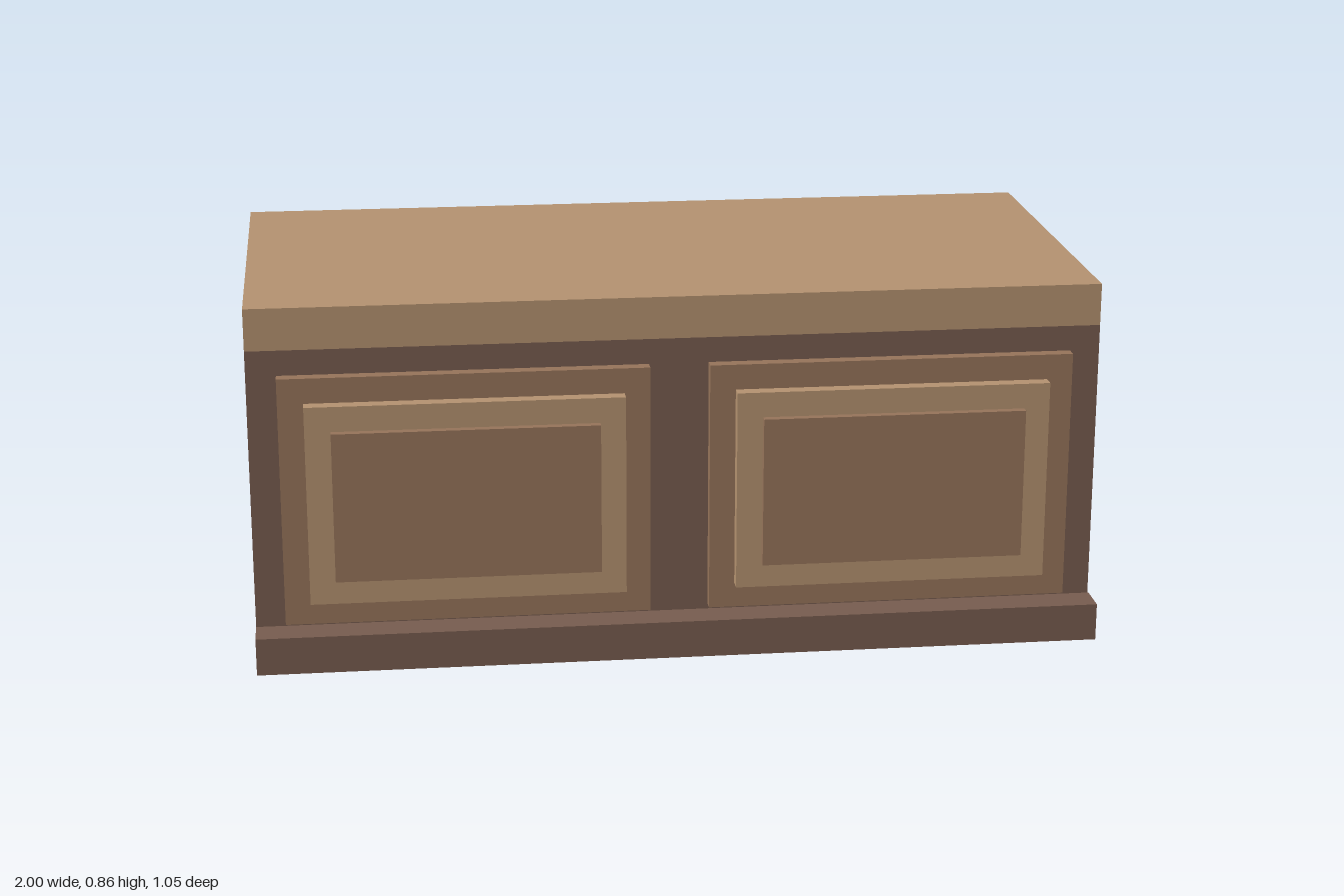
import * as THREE from 'three';

export function createModel() {
  const darkWood = new THREE.MeshStandardMaterial({ color: 0x775c4f });
  const midWood = new THREE.MeshStandardMaterial({ color: 0x96745a });
  const lightWood = new THREE.MeshStandardMaterial({ color: 0xb49270 });
  darkWood.name = 'darkWood';
  midWood.name = 'midWood';
  lightWood.name = 'lightWood';

  const group = new THREE.Group();
  group.name = 'cabinet';

  // Box given by its lower and upper limits on each axis
  function box(name, material, [x0, x1], [y0, y1], [z0, z1], parent = group) {
    const mesh = new THREE.Mesh(new THREE.BoxGeometry(x1 - x0, y1 - y0, z1 - z0), material);
    mesh.position.set((x0 + x1) / 2, (y0 + y1) / 2, (z0 + z1) / 2);
    mesh.name = name;
    parent.add(mesh);
  }

  // Carcass, worktop and the plinth standing just in front
  box('body', darkWood, [-1, 1], [0, 0.76], [-0.525, 0.435]);
  box('top', lightWood, [-1, 1], [0.76, 0.86], [-0.525, 0.435]);
  box('plinth', darkWood, [-1, 1], [0, 0.09], [0.445, 0.525]);

  // Two doors, each of three stepped panels
  for (const side of [-1, 1]) {
    const door = new THREE.Group();
    door.name = side > 0 ? 'leftDoor' : 'rightDoor';
    door.position.set(side * 0.5, 0.4, 0);
    box('doorFrame', midWood, [-0.43, 0.43], [-0.3, 0.3], [0.435, 0.465], door);
    box('doorMoulding', lightWood, [-0.37, 0.37], [-0.24, 0.24], [0.465, 0.497], door);
    box('doorPanel', midWood, [-0.31, 0.31], [-0.18, 0.18], [0.497, 0.516], door);
    group.add(door);
  }
  return group;
}
